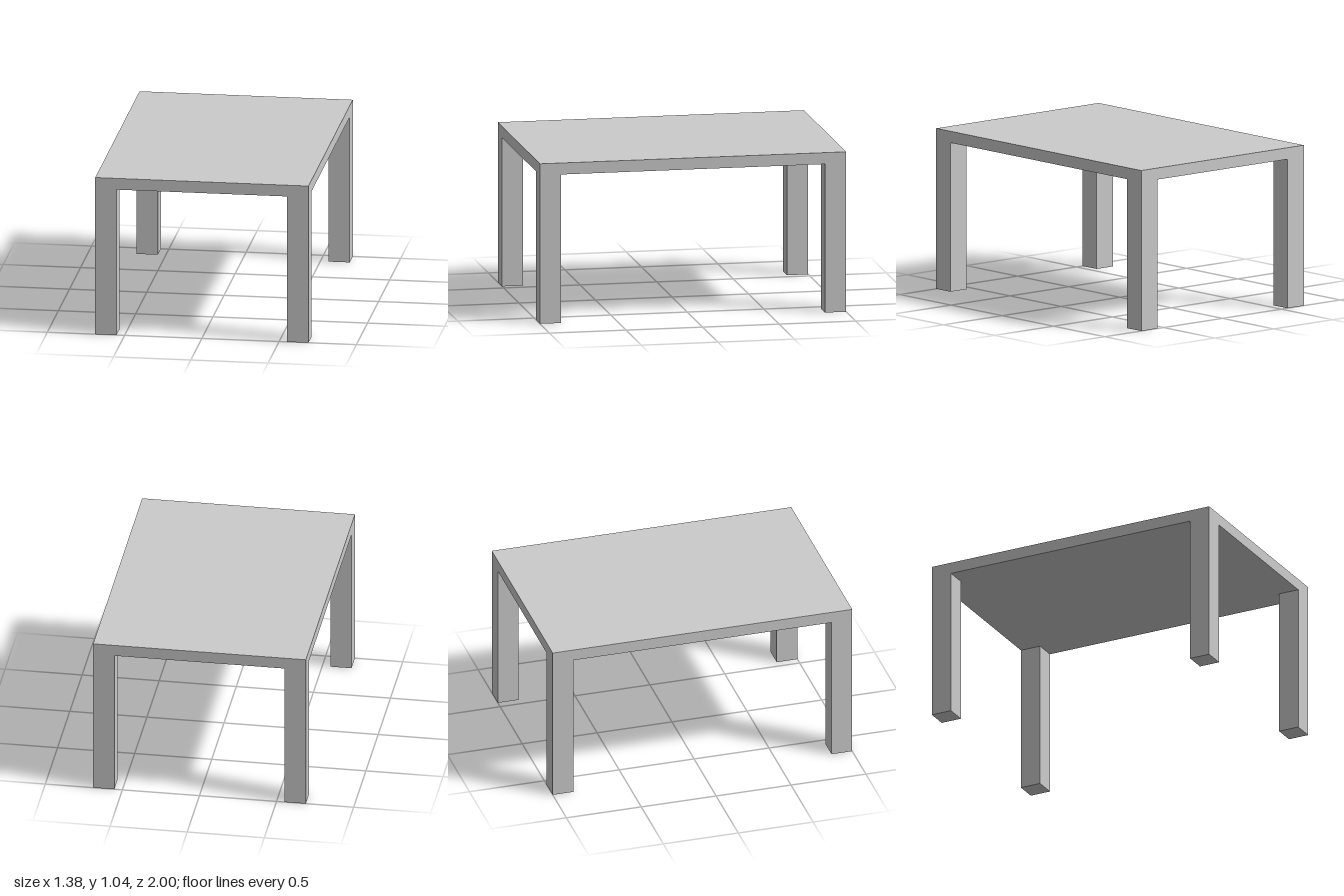
import * as THREE from 'three';

const WIDTH = 1.38, DEPTH = 2, HEIGHT = 1.045;
const SLAB = 0.075; // tabletop thickness
const LEG = 0.138; // square leg side

export function createModel() {
  const table = new THREE.Group();
  table.name = 'table';
  const material = new THREE.MeshStandardMaterial({ color: 0xcccccc });

  // Tabletop slab
  const top = new THREE.Mesh(new THREE.BoxGeometry(WIDTH, SLAB, DEPTH), material);
  top.name = 'tabletop';
  top.position.y = HEIGHT - SLAB / 2;
  table.add(top);

  // Four square legs, flush with the corners of the tabletop
  const legHeight = HEIGHT - SLAB;
  const legGeometry = new THREE.BoxGeometry(LEG, legHeight, LEG);
  for (const [zName, sz] of [['front', 1], ['back', -1]]) {
    for (const [xName, sx] of [['Left', 1], ['Right', -1]]) {
      const leg = new THREE.Mesh(legGeometry, material);
      leg.name = `${zName}${xName}Leg`;
      leg.position.set(sx * (WIDTH - LEG) / 2, legHeight / 2, sz * (DEPTH - LEG) / 2);
      table.add(leg);
    }
  }

  return table;
}
